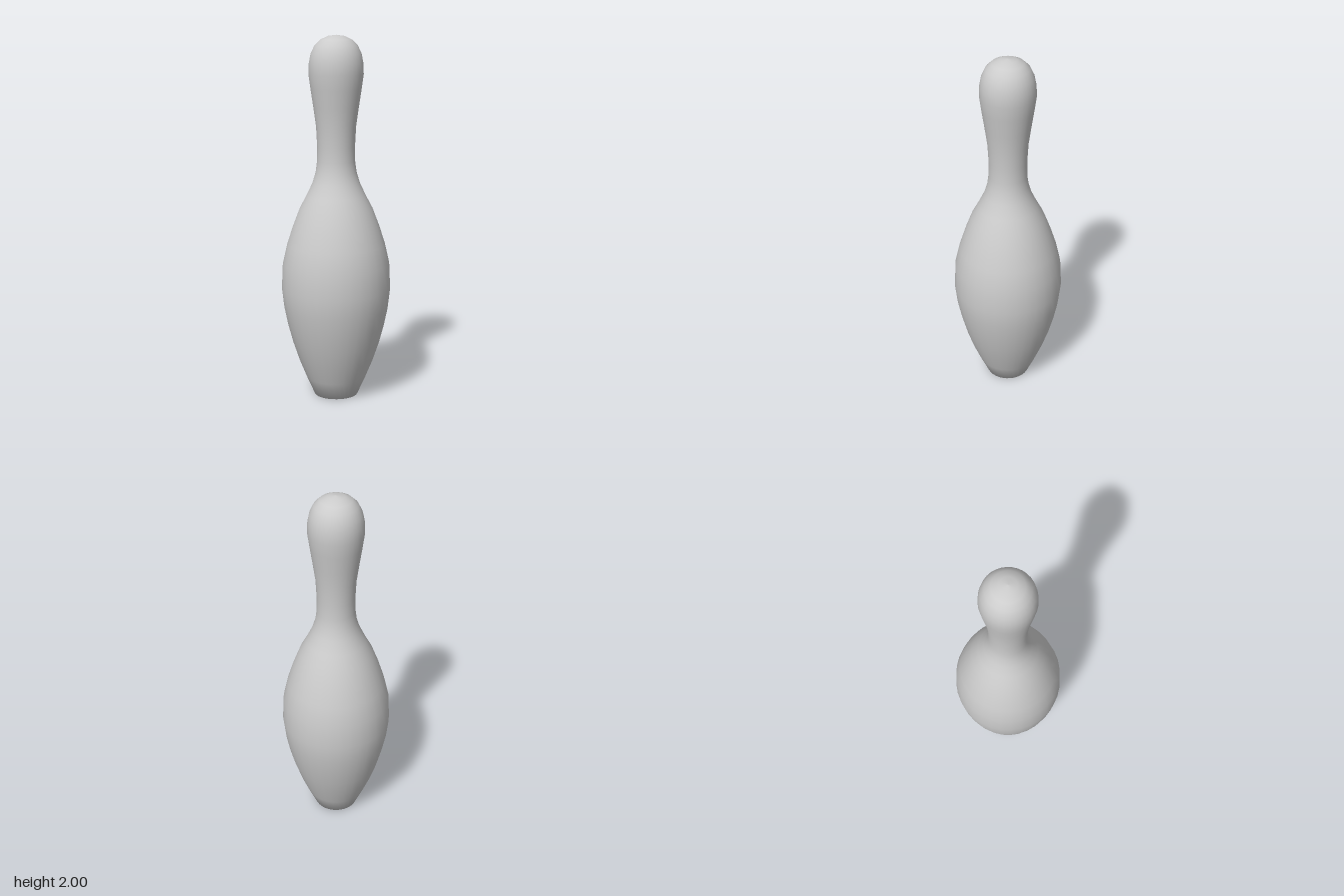
import * as THREE from 'three';

export function createModel() {
  const model = new THREE.Group();
  model.name = 'bowlingPin';

  // Radius and height from the centre of the flat base up to the crown
  const profile = [
    [0, 0], [0.12, 0], [0.165, 0.1], [0.206, 0.2], [0.24, 0.3], [0.267, 0.4],
    [0.288, 0.5], [0.301, 0.61], [0.295, 0.75], [0.27, 0.86], [0.238, 0.96],
    [0.2, 1.06], [0.163, 1.13], [0.13, 1.2], [0.112, 1.26], [0.104, 1.32],
    [0.103, 1.4], [0.109, 1.51], [0.123, 1.61], [0.138, 1.71], [0.149, 1.79],
    [0.147, 1.85], [0.137, 1.9], [0.116, 1.945], [0.085, 1.975], [0.045, 1.994], [0, 2],
  ].map(([r, y]) => new THREE.Vector2(r, y));

  // Body, neck and head are one turned surface
  const pin = new THREE.Mesh(
    new THREE.LatheGeometry(profile, 32),
    new THREE.MeshStandardMaterial({ color: 0xcccccc })
  );
  pin.name = 'pinBody';
  model.add(pin);
  return model;
}
